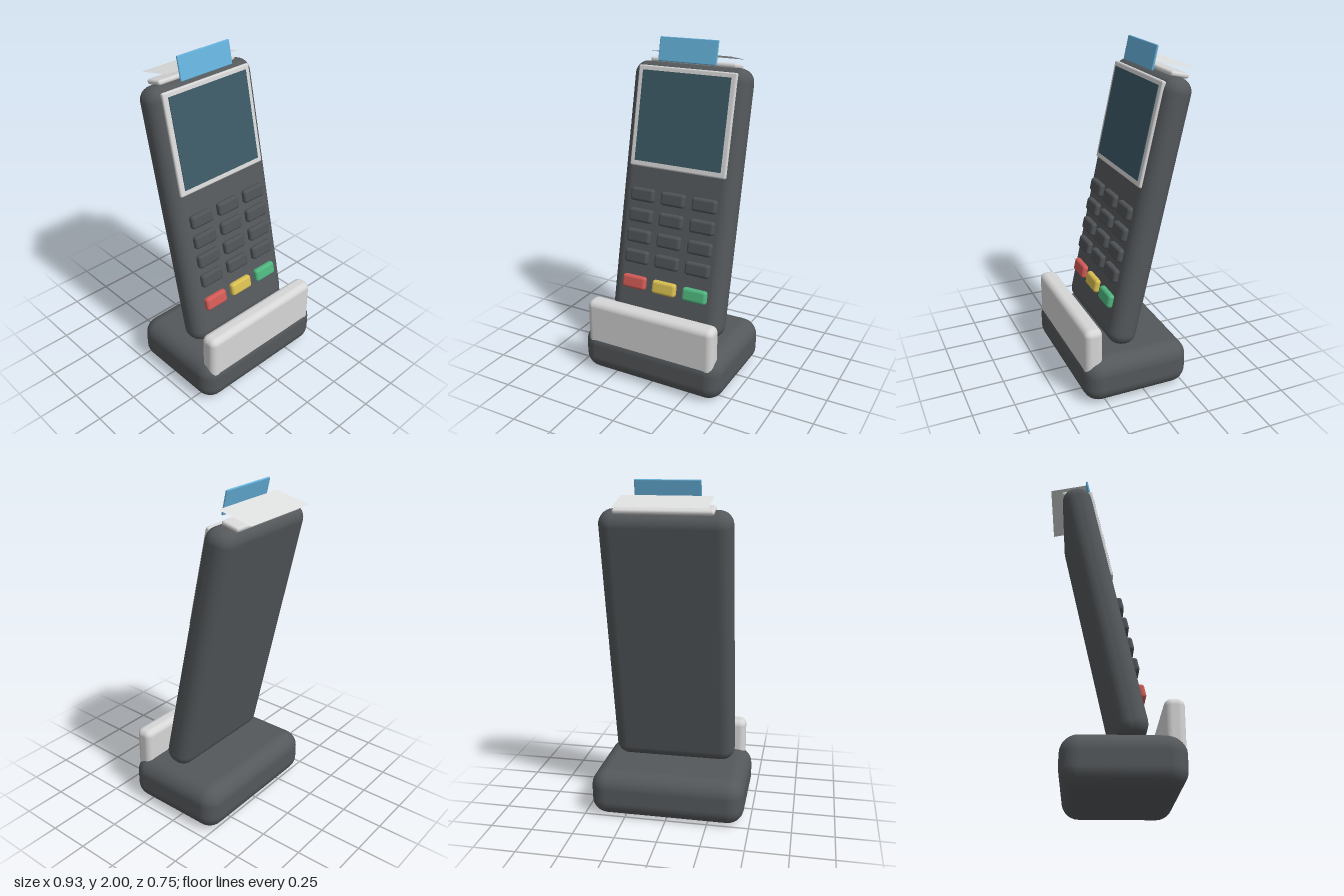
import * as THREE from 'three';
import { RoundedBoxGeometry } from 'three/addons/geometries/RoundedBoxGeometry.js';

const mat = (name, color, extra = {}) => {
  const m = new THREE.MeshStandardMaterial({ color, ...extra });
  m.name = name;
  return m;
};

export function createModel() {
  const casing = mat('charcoal casing', 0x54585b);
  const keyGrey = mat('key grey', 0x4e5255);
  const trim = mat('light grey trim', 0xd6d6d6);
  const paperMat = mat('receipt paper', 0xdedfdf, { side: THREE.DoubleSide });
  const glass = mat('screen teal', 0x3c5966);
  const blue = mat('card blue', 0x66b2dc);
  const red = mat('cancel red', 0xd05a55);
  const yellow = mat('clear yellow', 0xd8be50);
  const green = mat('confirm green', 0x4fb57f);

  const add = (parent, name, geometry, material, x, y, z) => {
    const mesh = new THREE.Mesh(geometry, material);
    mesh.name = name;
    mesh.position.set(x, y, z);
    parent.add(mesh);
    return mesh;
  };
  const rounded = (w, h, d, r, seg = 4) => new RoundedBoxGeometry(w, h, d, seg, r);

  const model = new THREE.Group();
  model.name = 'paymentTerminal';

  // Cradle: soft base with an upright front lip
  add(model, 'cradleBase', rounded(0.93, 0.28, 0.655, 0.1), casing, 0, 0.14, 0.047);
  add(model, 'cradleLip', rounded(0.84, 0.305, 0.11, 0.04), trim, 0, 0.3225, 0.312);

  // Handset, leaning back; its parts share the tilted frame
  const handset = new THREE.Group();
  handset.name = 'handset';
  handset.position.set(0, 1.065, -0.06);
  handset.rotation.x = -0.22;
  model.add(handset);
  add(handset, 'body', rounded(0.746, 1.59, 0.176, 0.08), casing, 0, 0, 0);

  // Screen and its surround
  add(handset, 'screenBezel', rounded(0.63, 0.597, 0.026, 0.01, 2), trim, 0, 0.466, 0.087);
  add(handset, 'screen', new THREE.BoxGeometry(0.566, 0.535, 0.008), glass, 0, 0.4685, 0.1);

  // Number keys, then one row of coloured action keys
  const keyGeometry = rounded(0.158, 0.082, 0.044, 0.018, 3);
  const columns = [-0.205, 0, 0.205];
  for (let row = 0; row < 4; row++) {
    columns.forEach((x) => add(handset, 'numberKey', keyGeometry, keyGrey, x, -0.127 * row, 0.096));
  }
  [['cancelKey', red], ['clearKey', yellow], ['confirmKey', green]].forEach(([name, material], i) =>
    add(handset, name, keyGeometry, material, columns[i], -0.54, 0.096));

  // Printer slot, receipt and payment card at the top
  add(handset, 'printerSlot', rounded(0.555, 0.03, 0.112, 0.014, 3), trim, 0, 0.804, -0.02);
  const receipt = add(handset, 'receipt', new THREE.PlaneGeometry(0.513, 0.218), paperMat, 0, 0.851, -0.026);
  receipt.rotation.x = -Math.PI / 2;
  add(handset, 'paymentCard', rounded(0.373, 0.14, 0.012, 0.005, 2), blue, 0, 0.863, 0.104);

  return model;
}
